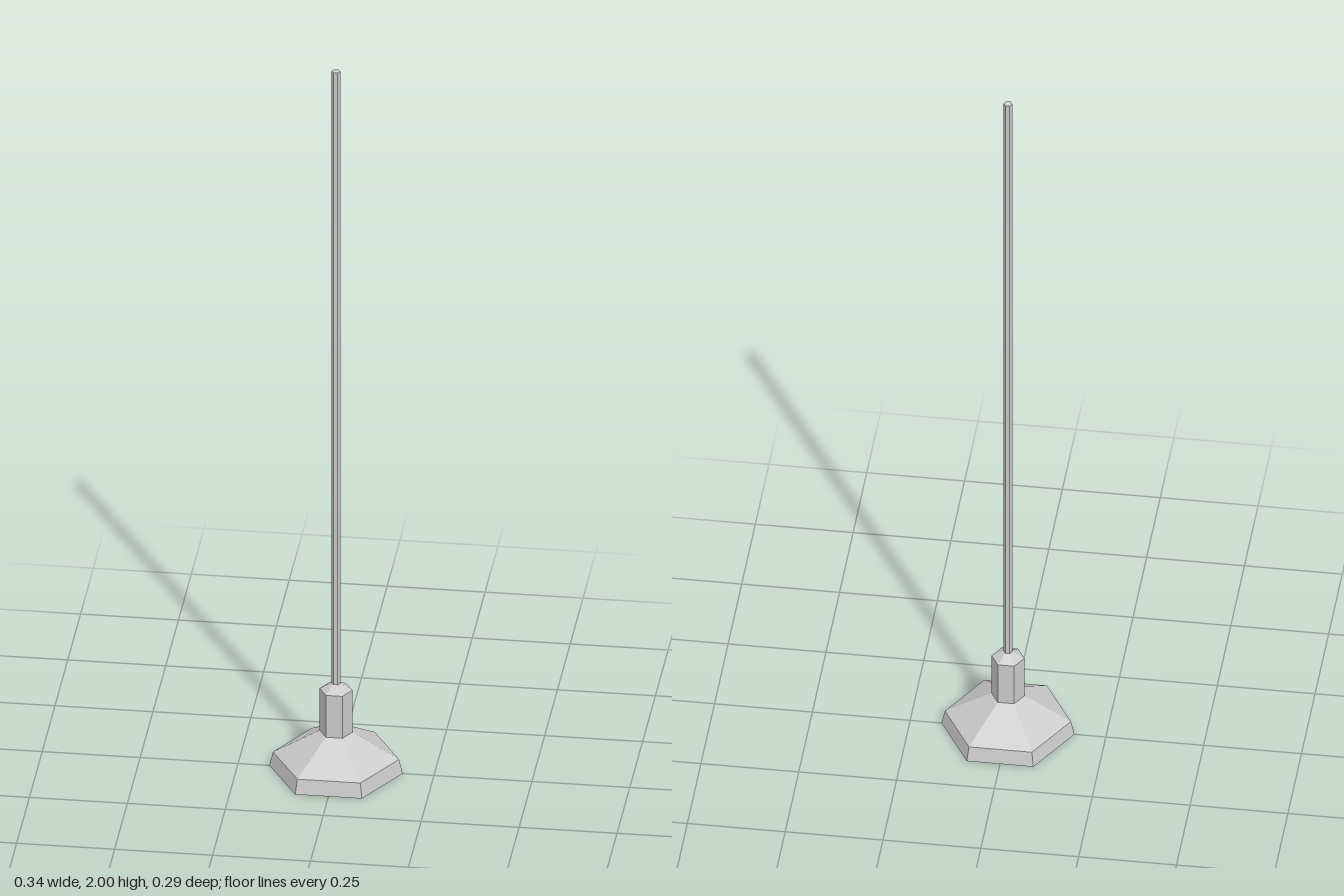
import * as THREE from 'three';

const material = new THREE.MeshStandardMaterial({ color: 0xcccccc, flatShading: true, side: THREE.DoubleSide });

// Six-sided turned part from [radius, height] pairs, listed bottom to top, corners on the x axis
function hexPart(name, profile) {
  const points = profile.map(([r, y]) => new THREE.Vector2(r, y));
  const mesh = new THREE.Mesh(new THREE.LatheGeometry(points, 6, Math.PI / 2), material);
  mesh.name = name;
  return mesh;
}

export function createModel() {
  const lamp = new THREE.Group();
  lamp.name = 'pendantLamp';
  lamp.add(
    // Open shade with a steep rim band
    hexPart('shade', [[0.17, 0], [0.161, 0.04], [0.042, 0.11]]),
    // Neck with a bevelled cap
    hexPart('neck', [[0.042, 0.11], [0.042, 0.23], [0.011, 0.248]]),
    // Tapered bulb hanging inside the shade
    hexPart('bulb', [[0, 0.02], [0.011, 0.02], [0.042, 0.11]]),
    // Long hanging rod
    hexPart('rod', [[0.011, 0.248], [0.011, 2], [0, 2]])
  );
  return lamp;
}
